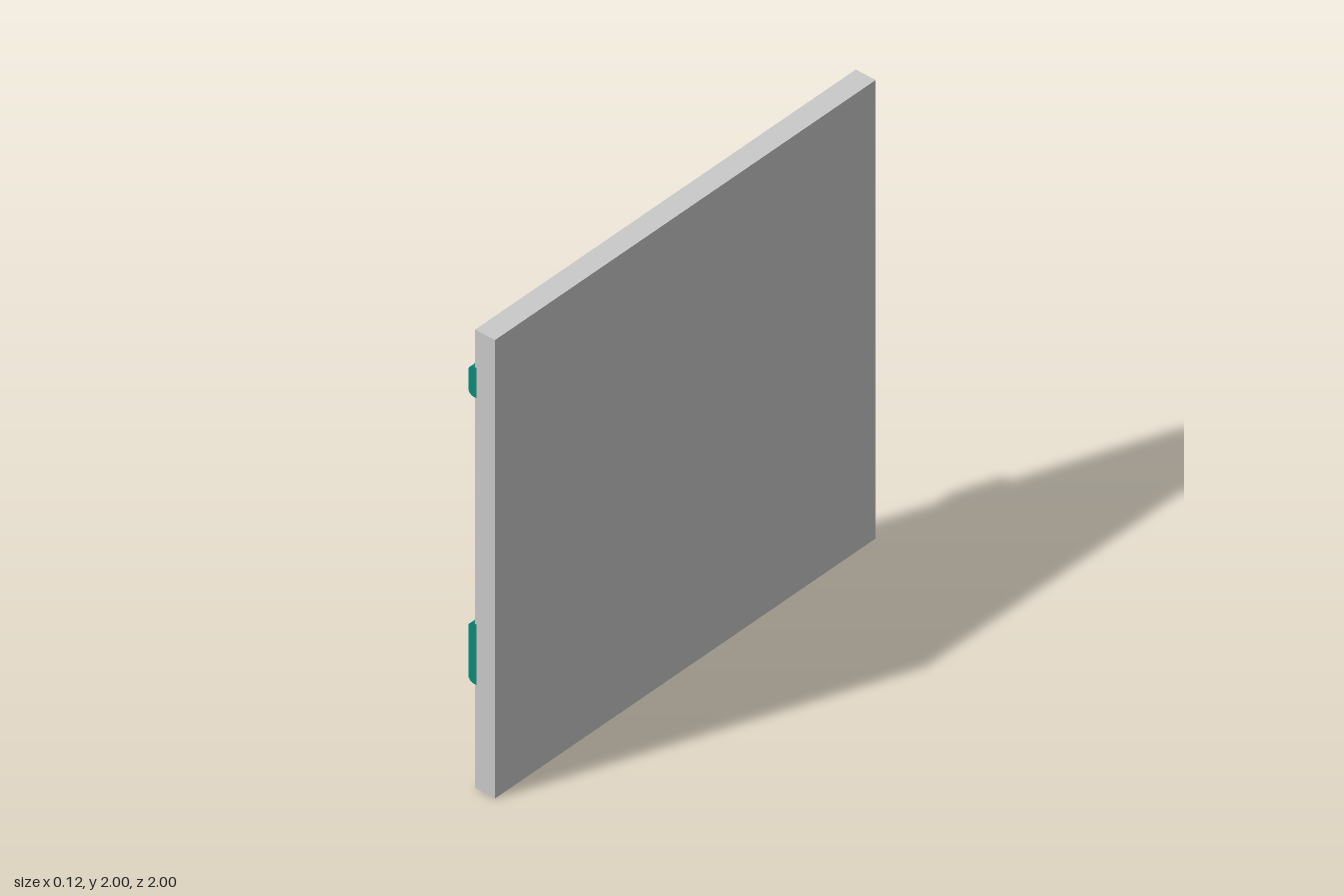
import * as THREE from 'three';

const panelGrey = new THREE.MeshStandardMaterial({ name: 'panelGrey', color: 0xcacaca });
const railTeal = new THREE.MeshStandardMaterial({ name: 'railTeal', color: 0x0d8878 });

// Horizontal guard rail: rounded outer edges, square where it is let into the panel
function rail(name, y0, y1) {
  const outer = -0.062, inner = -0.024, r = 0.026;
  const s = new THREE.Shape();
  s.moveTo(inner, y0);
  s.lineTo(inner, y1);
  s.lineTo(outer + r, y1);
  s.absarc(outer + r, y1 - r, r, Math.PI / 2, Math.PI, false);
  s.lineTo(outer, y0 + r);
  s.absarc(outer + r, y0 + r, r, Math.PI, Math.PI * 1.5, false);
  s.closePath();
  const geo = new THREE.ExtrudeGeometry(s, { depth: 2, bevelEnabled: false, curveSegments: 6 });
  geo.translate(0, 0, -1);
  const mesh = new THREE.Mesh(geo, railTeal);
  mesh.name = name;
  return mesh;
}

export function createModel() {
  const model = new THREE.Group();
  model.name = 'wallPanelWithRails';

  // Wall panel, a hair shorter than the rails so their ends stay visible
  const panel = new THREE.Mesh(new THREE.BoxGeometry(0.092, 2, 1.998), panelGrey);
  panel.name = 'wallPanel';
  panel.position.set(0.015, 1, 0);

  model.add(panel, rail('upperRail', 1.704, 1.835), rail('lowerRail', 0.453, 0.716));
  return model;
}
